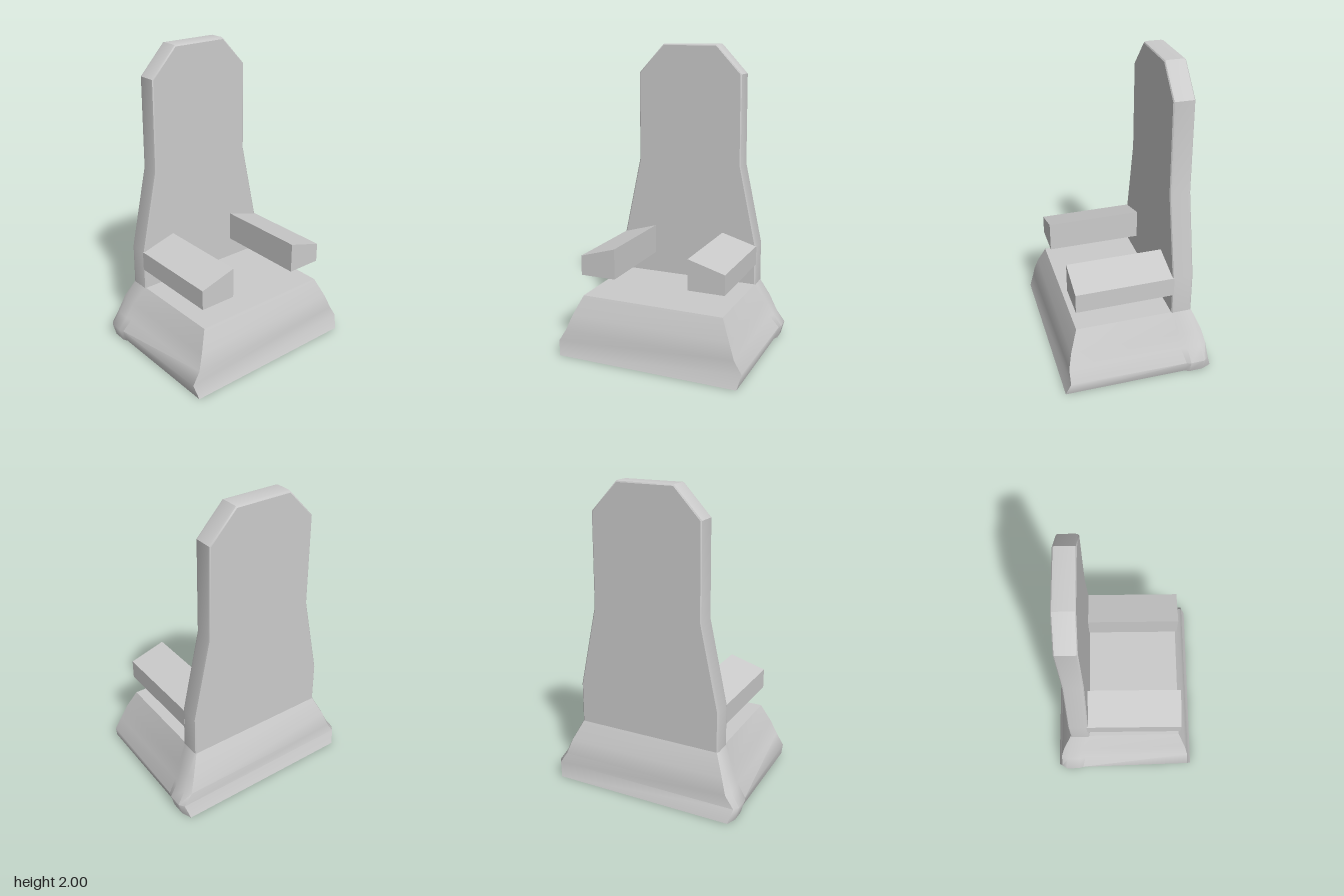
import * as THREE from 'three';
import { toCreasedNormals } from 'three/addons/utils/BufferGeometryUtils.js';

const material = new THREE.MeshStandardMaterial({ color: 0xcccccc });

// Skin a stack of horizontal rings and close both ends around a centre point.
function loft(rings) {
  const n = rings[0].length, positions = [], index = [];
  rings.forEach(ring => ring.forEach(p => positions.push(...p)));
  for (let r = 0; r < rings.length - 1; r++) {
    for (let i = 0; i < n; i++) {
      const a = r * n + i, b = r * n + (i + 1) % n;
      index.push(a, a + n, b, b, a + n, b + n);
    }
  }
  const top = (rings.length - 1) * n, low = rings.length * n;
  positions.push(0, rings[0][0][1], 0, 0, rings[rings.length - 1][0][1], 0);
  for (let i = 0; i < n; i++) {
    const j = (i + 1) % n;
    index.push(low, i, j, low + 1, top + j, top + i);
  }
  const geometry = new THREE.BufferGeometry();
  geometry.setAttribute('position', new THREE.Float32BufferAttribute(positions, 3));
  geometry.setIndex(index);
  return toCreasedNormals(geometry, 0.95);
}

// Extrude a (z, y) outline along x, starting at x = 0.
function extrudeAlongX(outline, options) {
  const shape = new THREE.Shape(outline.map(([z, y]) => new THREE.Vector2(-z, y)));
  return new THREE.ExtrudeGeometry(shape, options).rotateY(Math.PI / 2);
}

export function createModel() {
  const model = new THREE.Group();
  const add = (name, geometry, x = 0) => {
    const mesh = new THREE.Mesh(geometry, material);
    mesh.name = name;
    mesh.position.x = x;
    model.add(mesh);
  };

  // Flared base: each level is a height and half an outline (x, z), front to back.
  const levels = [
    [0.00, [[0.495, 0.61], [-0.31, 0.62], [-0.34, 0.635], [-0.43, 0.635], [-0.495, 0.61]]],
    [0.09, [[0.462, 0.63], [-0.31, 0.65], [-0.34, 0.66], [-0.43, 0.66], [-0.465, 0.635]]],
    [0.17, [[0.46, 0.58], [-0.29, 0.59], [-0.33, 0.605], [-0.42, 0.605], [-0.465, 0.58]]],
    [0.27, [[0.435, 0.54], [-0.27, 0.55], [-0.31, 0.56], [-0.40, 0.56], [-0.44, 0.545]]],
    [0.40, [[0.385, 0.48], [-0.25, 0.485], [-0.27, 0.493], [-0.37, 0.493], [-0.385, 0.485]]],
  ];
  add('seatBase', loft(levels.map(([y, half]) => [
    ...half.map(([x, z]) => [x, y, z]),
    ...[...half].reverse().map(([x, z]) => [x, y, -z]),
  ])));

  // Tall backrest with cut top corners and softened edges.
  const side = [[0.493, 0.36], [0.49, 0.67], [0.372, 1.21], [0.367, 1.81], [0.19, 2]];
  const outline = [...side, ...[...side].reverse().map(([z, y]) => [-z, y])];
  const back = extrudeAlongX(outline, {
    depth: 0.095, bevelThickness: 0.02, bevelSize: 0.01, bevelOffset: -0.01, bevelSegments: 2,
  });
  add('backrest', toCreasedNormals(back, 0.6), -0.365);

  // Armrests with tops sloping down to the outside.
  for (const s of [1, -1]) {
    const arm = [[0.25, 0.54], [0.49, 0.54], [0.49, 0.67], [0.25, 0.74]];
    add(s > 0 ? 'leftArmrest' : 'rightArmrest',
      extrudeAlongX(arm.map(([z, y]) => [z * s, y]), { depth: 0.645, bevelEnabled: false }), -0.26);
  }
  return model;
}
